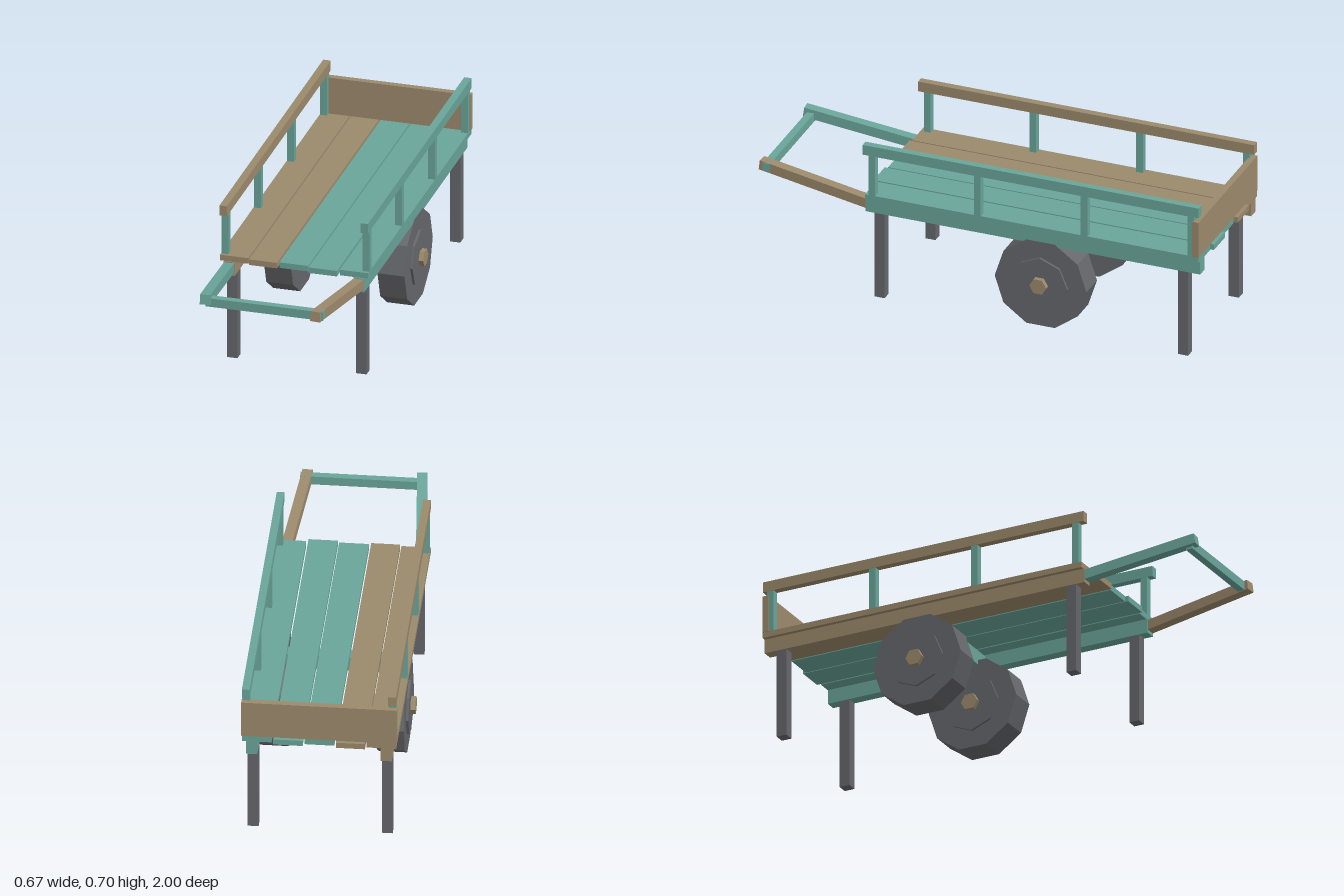
import * as THREE from 'three';

const mat = (color) => new THREE.MeshStandardMaterial({ color, flatShading: true });

export function createModel() {
  const cart = new THREE.Group();
  cart.name = 'handCart';
  const teal = mat(0x6aa59a), brown = mat(0x9c8a6c), grey = mat(0x66676c);

  const add = (name, geometry, material, parent = cart) => {
    const mesh = new THREE.Mesh(geometry, material);
    mesh.name = name;
    parent.add(mesh);
    return mesh;
  };

  // Box given by its lower and upper limits on each axis
  const box = (name, [x0, x1], [y0, y1], [z0, z1], material) => {
    const mesh = add(name, new THREE.BoxGeometry(x1 - x0, y1 - y0, z1 - z0), material);
    mesh.position.set((x0 + x1) / 2, (y0 + y1) / 2, (z0 + z1) / 2);
    return mesh;
  };

  // Square bar running between two points
  const bar = (name, from, to, size, material) => {
    const a = new THREE.Vector3(...from), b = new THREE.Vector3(...to);
    const mesh = add(name, new THREE.BoxGeometry(size, size, a.distanceTo(b)), material);
    mesh.position.copy(a).add(b).multiplyScalar(0.5);
    mesh.lookAt(b);
    return mesh;
  };

  // Deck planks: x limits, z limits
  [
    [[-0.32, -0.198], [-0.985, 0.5], brown],
    [[-0.192, -0.072], [-1, 0.51], brown],
    [[-0.064, 0.06], [-0.985, 0.502], teal],
    [[0.066, 0.188], [-1, 0.515], teal],
    [[0.196, 0.318], [-0.985, 0.5], teal],
  ].forEach(([x, z, m], i) => box('deckPlank' + (i + 1), x, [0.452, 0.477], z, m));

  // Cross beam over the wheels and board at the back
  box('crossBeam', [-0.3, 0.3], [0.382, 0.445], [-0.31, -0.25], teal);
  box('backBoard', [-0.322, 0.322], [0.477, 0.64], [-0.985, -0.957], brown);

  for (const side of [1, -1]) {
    const tag = side > 0 ? 'left' : 'right';
    const span = (a, b) => (side > 0 ? [a, b] : [-b, -a]);

    box(tag + 'SideBeam', span(0.255, 0.302), [0.39, 0.452], [-0.985, 0.505], side > 0 ? teal : brown);
    box(tag + 'TopRail', span(0.287, 0.319), [0.66, 0.705], [-0.985, 0.51], side > 0 ? teal : brown);
    for (const z of [0.47, 0, -0.475, -0.95]) {
      box(tag + 'RailPost', span(0.288, 0.318), [0.477, 0.66], [z - 0.015, z + 0.015], teal);
    }
    box(tag + 'FrontLeg', span(0.255, 0.3), [0, 0.39], [0.42, 0.465], grey);
    box(tag + 'BackLeg', span(0.255, 0.3), [0, 0.39], [-0.93, -0.885], grey);

    // Wheel, raised disc and hub share one axis
    const wheel = new THREE.Group();
    wheel.name = tag + 'Wheel';
    wheel.position.set(side * 0.245, 0.207, -0.275);
    wheel.rotation.z = Math.PI / 2;
    cart.add(wheel);
    for (const [name, r, width, sides, m] of [
      ['tread', 0.204, 0.116, 10, grey],
      ['disc', 0.1225, 0.137, 8, grey],
      ['hub', 0.0375, 0.178, 6, brown],
    ]) add(name, new THREE.CylinderGeometry(r, r, width, sides), m, wheel);

    // Handle pole leaning up and inward
    bar(tag + 'HandlePole', [side * 0.28, 0.425, 0.495], [side * 0.237, side > 0 ? 0.487 : 0.502, 0.993],
      0.043, side > 0 ? brown : teal);
  }
  box('handleBar', [-0.24, 0.265], [0.465, 0.503], [0.945, 0.977], teal);

  return cart;
}
